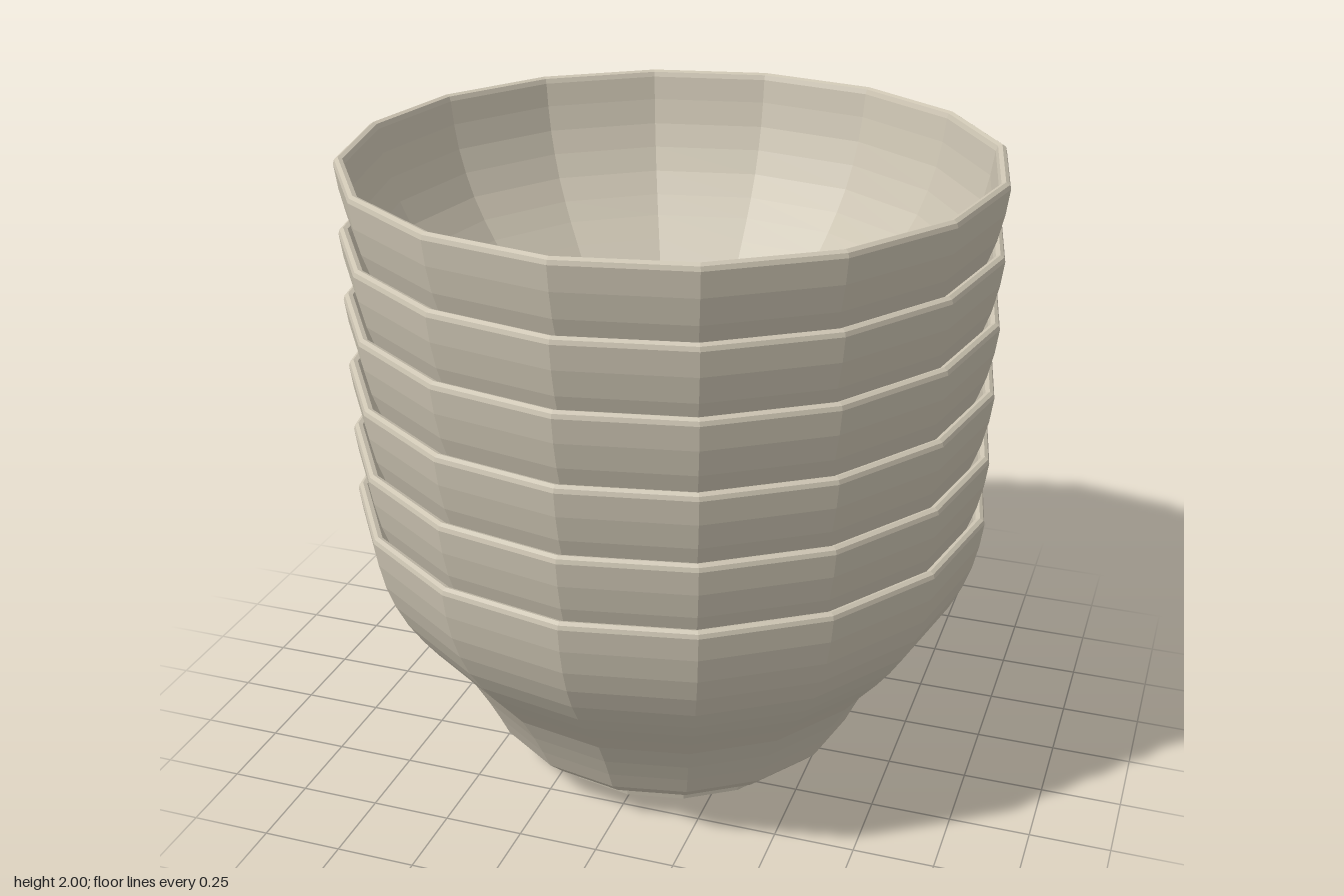
import * as THREE from 'three';

const SIDES = 16;

// Closed cross-section of one bowl: [radius, height]
const FOOT = [[0, 0], [0.445, 0], [0.462, 0.01], [0.466, 0.035], [0.455, 0.048]];
const OUTER_WALL = [
  [0.49, 0.055], [0.548, 0.085], [0.595, 0.13], [0.625, 0.195], [0.66, 0.265],
  [0.705, 0.345], [0.765, 0.42], [0.82, 0.485], [0.865, 0.545], [0.91, 0.615],
  [0.946, 0.69], [0.972, 0.765], [0.99, 0.845], [1, 0.92],
];
const RIM = [[0.996, 0.933], [0.985, 0.94], [0.972, 0.935], [0.966, 0.92]];
const INNER_WALL = [
  [0.955, 0.845], [0.937, 0.765], [0.91, 0.69], [0.875, 0.615], [0.83, 0.545],
  [0.785, 0.485], [0.73, 0.42], [0.665, 0.345], [0.61, 0.28], [0.56, 0.235],
  [0.53, 0.212], [0.48, 0.19], [0.42, 0.18], [0, 0.18],
];

// Base height of each bowl in the stack
const STACK = [0, 0.207, 0.42, 0.637, 0.845, 1.06];

export function createModel() {
  const model = new THREE.Group();
  model.name = 'bowlStack';

  const material = new THREE.MeshStandardMaterial({ color: 0xccc4b2, flatShading: true });
  const profile = [...FOOT, ...OUTER_WALL, ...RIM, ...INNER_WALL]
    .map(([r, y]) => new THREE.Vector2(r, y));
  const geometry = new THREE.LatheGeometry(profile, SIDES);

  // Nested bowls
  STACK.forEach((y, i) => {
    const bowl = new THREE.Mesh(geometry, material);
    bowl.name = `bowl${i + 1}`;
    bowl.position.y = y;
    model.add(bowl);
  });

  return model;
}
